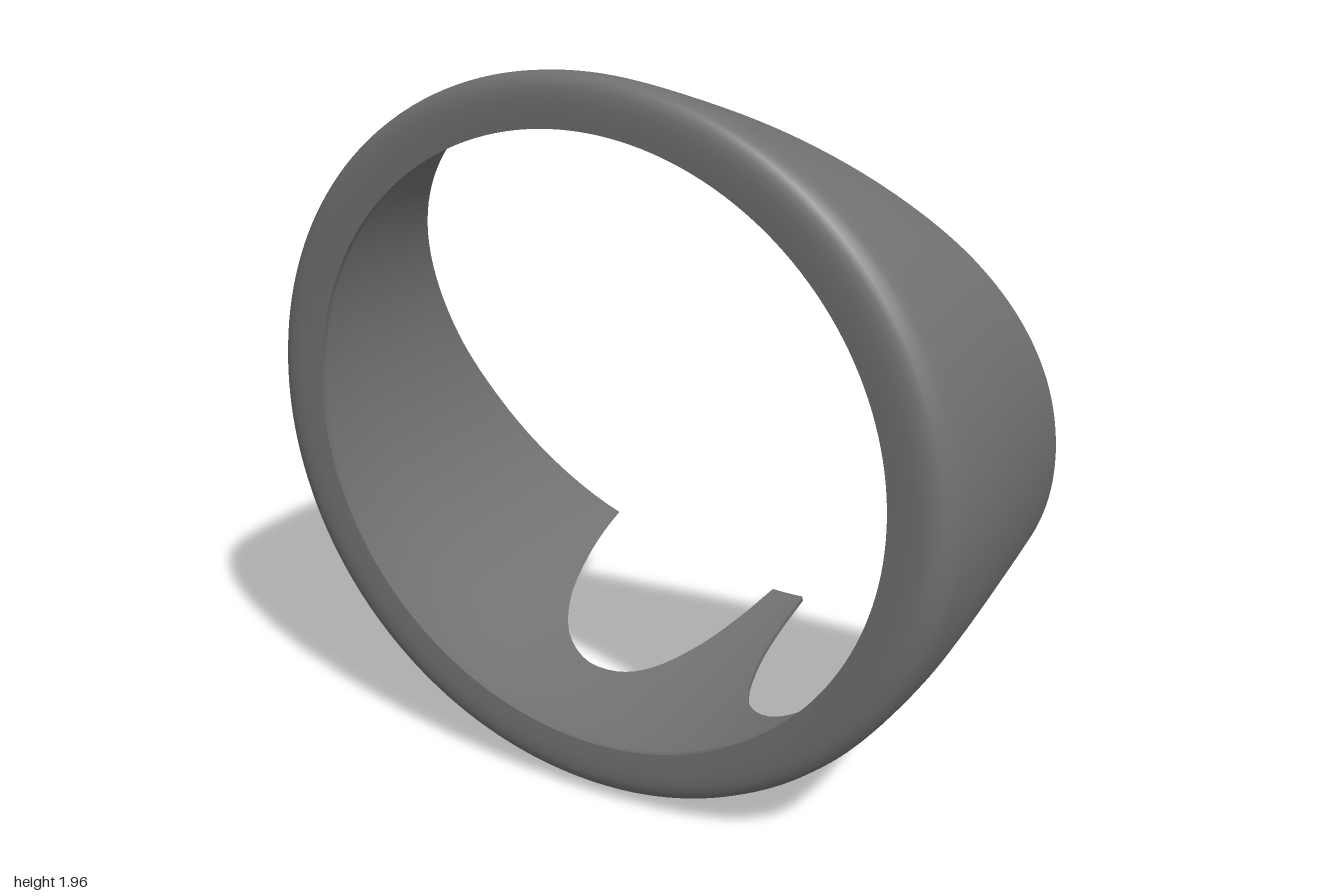
import * as THREE from 'three';

const THICK = 0.016;
// Rounded front lip: [radius, z] from the hole outwards
const LIP = [[0.83, 0.597], [0.87, 0.6], [0.9, 0.6], [0.925, 0.598], [0.945, 0.592],
  [0.961, 0.582], [0.973, 0.568], [0.982, 0.548], [0.988, 0.525]];
const BODY_ROWS = 28;

// Back edge of one half as [angle from the bottom, z]: tongue, notch, long slanted cut
const EDGE = [
  { steps: 3, pts: [[0, -0.6], [0.0575, -0.6]] },
  { steps: 36, pts: [[0.0575, -0.6], [0.075, -0.4], [0.107, -0.2], [0.165, -0.02], [0.23, 0.065],
    [0.328, 0.1], [0.435, 0.055], [0.53, -0.07], [0.605, -0.26], [0.645, -0.41], [0.664, -0.51]] },
  { steps: 64, pts: [[0.664, -0.51], [0.98, -0.4], [1.237, -0.3], [1.46, -0.2], [1.687, -0.1],
    [1.91, 0], [2.137, 0.1], [2.37, 0.2], [2.64, 0.29], [2.9, 0.35], [Math.PI, 0.373]] },
];

// Shell radius behind the lip: gentle taper to the back
function bodyRadius(z) {
  return z > 0.3 ? 1 - 0.011 * ((z - 0.3) / 0.22) ** 2 : 1 - 0.05 * ((0.3 - z) / 0.9) ** 1.3;
}

// The crown slopes inwards behind the lip
function crownDrop(angle, z) {
  return 0.43 * Math.max(0, 0.6 - z) * Math.max(0, -Math.cos(angle)) ** 3;
}

// Columns all the way round, mirrored from the half edge
function edgeColumns() {
  const half = [];
  for (const { steps, pts } of EDGE) {
    const curve = new THREE.CatmullRomCurve3(pts.map(([a, z]) => new THREE.Vector3(a, z, 0)));
    for (let i = half.length ? 1 : 0; i <= steps; i++) {
      const p = curve.getPoint(i / steps);
      half.push([p.x, p.y]);
    }
  }
  const mirrored = half.slice(1, -1).reverse().map(([a, z]) => [-a, z]);
  return [...mirrored, ...half];
}

// Outer and inner [radius, z] cross-sections of one column
function section([angle, end]) {
  const raw = LIP.map((p) => [...p]);
  for (let i = 0; i <= BODY_ROWS; i++) {
    const z = 0.5 + (end - 0.5) * (i / BODY_ROWS);
    raw.push([bodyRadius(z), z]);
  }
  const outer = raw.map(([r, z]) => [r - crownDrop(angle, z), z]);
  const inner = outer.map(([r, z], i) => {
    const a = outer[Math.max(0, i - 1)], b = outer[Math.min(outer.length - 1, i + 1)];
    const dr = b[0] - a[0], dz = b[1] - a[1], len = Math.hypot(dr, dz);
    const last = i === outer.length - 1;
    return [r + THICK * dz / len, last ? z : z - THICK * dr / len];
  });
  return { outer, inner };
}

// Closed band of quads through the columns of cross-section points
function band(columns, rows) {
  const pos = [], index = [], n = rows[0].length, m = columns.length;
  columns.forEach(([angle], c) => {
    for (const [r, z] of rows[c]) pos.push(r * Math.sin(angle), 1 - r * Math.cos(angle), z);
  });
  for (let c = 0; c < m; c++) {
    for (let i = 0; i < n - 1; i++) {
      const a = c * n + i, b = ((c + 1) % m) * n + i;
      index.push(a, a + 1, b, b, a + 1, b + 1);
    }
  }
  const geo = new THREE.BufferGeometry();
  geo.setAttribute('position', new THREE.Float32BufferAttribute(pos, 3));
  geo.setIndex(index);
  geo.computeVertexNormals();
  return geo;
}

export function createModel() {
  const group = new THREE.Group();
  group.name = 'ringShell';
  const grey = new THREE.MeshStandardMaterial({ color: 0x707070, side: THREE.DoubleSide });
  grey.name = 'darkGrey';

  const columns = edgeColumns();
  const sections = columns.map(section);
  const parts = {
    outerShell: (s) => s.outer,
    innerShell: (s) => [...s.inner].reverse(),
    backEdge: (s) => [s.outer.at(-1), s.inner.at(-1)],
    holeRim: (s) => [s.inner[0], s.outer[0]],
  };
  for (const [name, pick] of Object.entries(parts)) {
    const mesh = new THREE.Mesh(band(columns, sections.map(pick)), grey);
    mesh.name = name;
    group.add(mesh);
  }
  return group;
}
